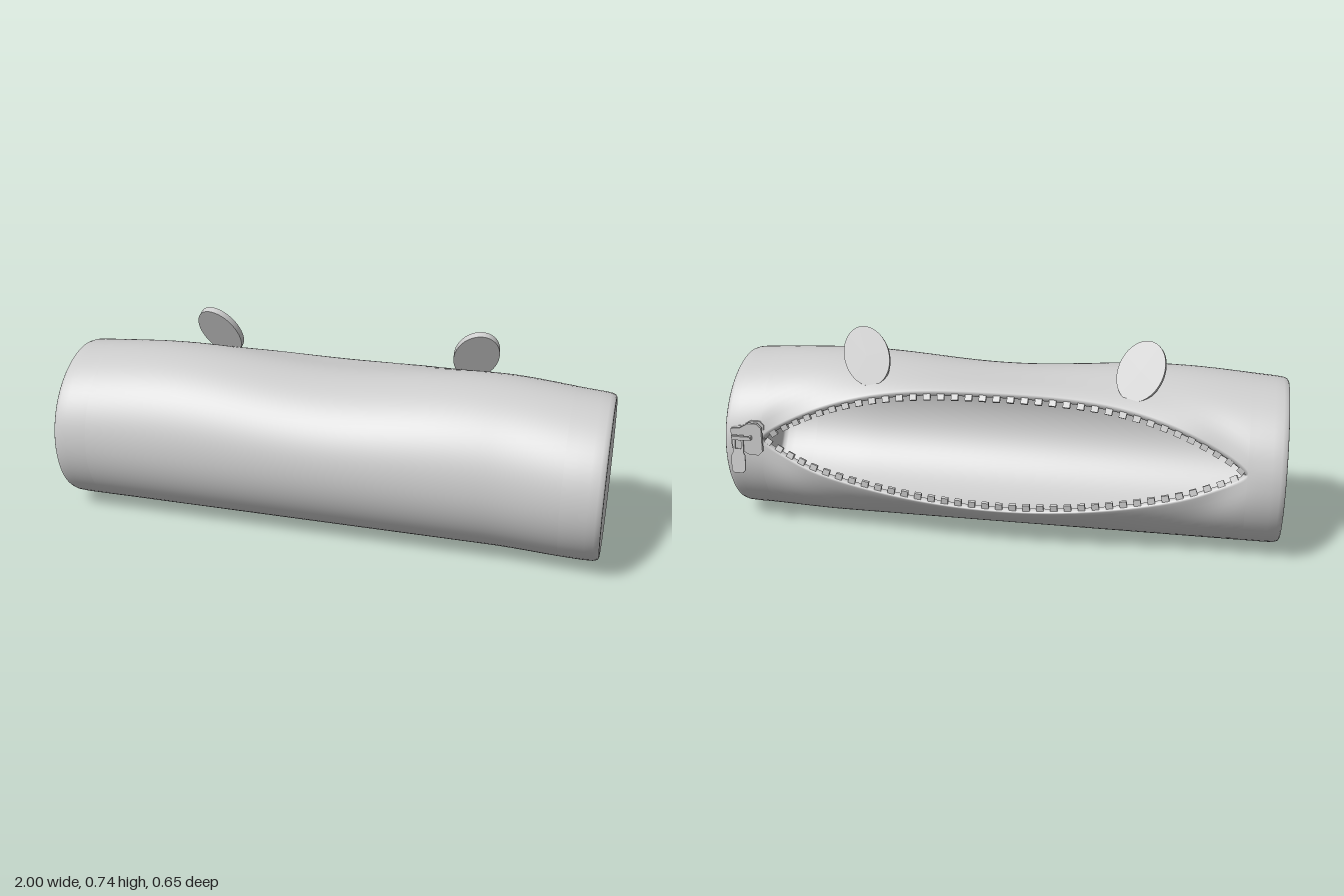
import * as THREE from 'three';
import { mergeGeometries } from 'three/addons/utils/BufferGeometryUtils.js';

const grey = new THREE.MeshStandardMaterial({ color: 0xcccccc, side: THREE.DoubleSide });
const rad = THREE.MathUtils.degToRad;
const SEAM = rad(10), UPPER = rad(42), LOWER = rad(37);
const OPEN_MID = -0.005, OPEN_HALF = 0.865;

// How far the zip gapes at x: 0 closed, 1 widest
function gape(x) {
  const u = (x - OPEN_MID) / OPEN_HALF;
  return Math.pow(Math.max(0, 1 - u * u), 0.75);
}

// Point on the soft tube; t runs from the upper lip round the front to the lower lip
function skinPoint(x, t, scale = 1) {
  const w = gape(x);
  const a0 = SEAM + UPPER * w, a1 = SEAM - LOWER * w + Math.PI * 2;
  const a = a0 + (a1 - a0) * t;
  // The lips curl outward in the middle and sink in near the zip ends
  const d = Math.min(a - a0, a1 - a) / 0.27;
  const e = (Math.abs(x) - 0.8) / 0.09;
  const curl = 0.1 * w ** 3 - 0.045 * Math.exp(-e * e);
  const r = scale * (1 + curl * Math.exp(-d * d));
  const top = 0.605 - 0.015 * Math.cos(x * Math.PI / 0.57);
  const cy = 0.3, ry = Math.sin(a) > 0 ? top - cy : cy - 0.002;
  const cz = 0.02 * THREE.MathUtils.smoothstep(x, 0.6, 0.95);
  return new THREE.Vector3(x, cy + Math.sin(a) * ry * r, cz - Math.cos(a) * 0.307 * r);
}

// Double-walled tube with rounded rims, closed ends and a slit along the back
function bodyGeometry() {
  const rim = [[1, 0], [1, 0.92], [0.999, 0.955], [0.994, 0.98], [0.98, 0.995], [0.95, 1], [0.9, 1]];
  const stations = rim.map(([x, s]) => [-x, s]);
  for (let i = 0; i <= 56; i++) stations.push([OPEN_MID - OPEN_HALF * Math.cos(Math.PI * i / 56), 1]);
  stations.push(...[...rim].reverse());

  const ts = [0, 0.006];
  for (let j = 1; j < 72; j++) ts.push(j / 72);
  ts.push(0.994, 1);
  const pos = [], index = [], half = ts.length, n = half * 2;
  stations.forEach(([x, s]) => {
    ts.forEach(t => pos.push(...skinPoint(x, t, s).toArray()));
    [...ts].reverse().forEach(t => {
      const p = skinPoint(x, t, s * 0.945);
      pos.push(p.x * 0.985, p.y, p.z);
    });
  });
  // Where the slit is closed, both lips share their vertices
  const closed = i => gape(stations[i][0]) < 1e-6;
  const id = (i, j) => {
    if (closed(i) && j === half - 1) j = 0;
    if (closed(i) && j === n - 1) j = half;
    return i * n + j;
  };
  for (let i = 0; i < stations.length - 1; i++) {
    for (let j = 0; j < n; j++) {
      const isLip = j === half - 1 || j === n - 1;
      if (isLip && closed(i) && closed(i + 1)) continue;
      const k = (j + 1) % n;
      const a = id(i, j), b = id(i, k), c = id(i + 1, j), d = id(i + 1, k);
      index.push(a, b, c, b, d, c);
    }
  }
  const g = new THREE.BufferGeometry();
  g.setAttribute('position', new THREE.Float32BufferAttribute(pos, 3));
  g.setIndex(index);
  g.computeVertexNormals();
  return g;
}

// Row of flat square teeth following one lip, pointing into the opening
function teethGeometry(t, shift) {
  const inner = t === 0 ? 0.01 : 0.99;
  const path = [];
  for (let i = 0; i <= 120; i++) {
    path.push(skinPoint(OPEN_MID - OPEN_HALF * Math.cos(Math.PI * i / 120), t, 0.965));
  }
  const curve = new THREE.CatmullRomCurve3(path);
  const count = 36, teeth = [];
  for (let k = 0; k < count; k++) {
    const u = (k + 0.5 + shift) / (count + 0.5);
    const p = curve.getPointAt(u), tangent = curve.getTangentAt(u);
    const out = p.clone().sub(skinPoint(p.x, inner, 0.985));
    out.addScaledVector(tangent, -out.dot(tangent)).normalize();
    const normal = new THREE.Vector3().crossVectors(tangent, out);
    const box = new THREE.BoxGeometry(0.025, 0.03, 0.013);
    box.translate(0, 0.005, 0);
    box.applyMatrix4(new THREE.Matrix4().makeBasis(tangent, out, normal).setPosition(p));
    teeth.push(box);
  }
  return mergeGeometries(teeth);
}

function add(parent, name, geometry, x = 0, y = 0, z = 0) {
  const m = new THREE.Mesh(geometry, grey);
  m.name = name;
  m.position.set(x, y, z);
  parent.add(m);
  return m;
}

// Zip slider, built facing local +z with its wide mouth towards local +x
function createSlider() {
  const slider = new THREE.Group();
  slider.name = 'zipSlider';
  const plate = new THREE.Shape([
    [0.06, 0.045], [0.045, 0.06], [0.01, 0.06], [-0.02, 0.042], [-0.055, 0.038],
    [-0.055, -0.038], [-0.02, -0.042], [0.01, -0.06], [0.045, -0.06], [0.06, -0.045],
  ].map(p => new THREE.Vector2(...p)));
  const plateGeo = new THREE.ExtrudeGeometry(plate, { depth: 0.012, bevelEnabled: false });
  add(slider, 'sliderFrontPlate', plateGeo, 0, 0, 0.002);
  add(slider, 'sliderBackPlate', plateGeo, 0, 0, -0.026);
  add(slider, 'sliderWedge', new THREE.BoxGeometry(0.025, 0.03, 0.03), 0.04, 0, -0.008);

  // Bridge holding the pull
  add(slider, 'bridgeTop', new THREE.BoxGeometry(0.07, 0.014, 0.007), -0.012, 0.008, 0.028);
  for (const x of [-0.044, 0.02]) {
    add(slider, 'bridgeLeg', new THREE.BoxGeometry(0.008, 0.014, 0.02), x, 0.008, 0.018);
  }

  // Flat pull tab with a slot at the top
  const tab = new THREE.Shape([
    [-0.02, 0.015], [0.02, 0.015], [0.02, -0.05], [0.026, -0.06], [0.026, -0.115],
    [0.016, -0.125], [-0.016, -0.125], [-0.026, -0.115], [-0.026, -0.06], [-0.02, -0.05],
  ].map(p => new THREE.Vector2(...p)));
  tab.holes.push(new THREE.Path([[-0.011, 0.005], [-0.011, -0.035], [0.011, -0.035], [0.011, 0.005]]
    .map(p => new THREE.Vector2(...p))));
  const pull = add(slider, 'pullTab',
    new THREE.ExtrudeGeometry(tab, { depth: 0.005, bevelEnabled: false }), -0.025, 0.002, 0.021);
  pull.rotation.x = -0.13;

  slider.position.set(0.91, 0.358, -0.284);
  slider.rotation.y = Math.PI;
  return slider;
}

export function createModel() {
  const model = new THREE.Group();
  model.name = 'zippedCase';

  add(model, 'caseBody', bodyGeometry());
  add(model, 'upperTeeth', teethGeometry(0, 0));
  add(model, 'lowerTeeth', teethGeometry(1, 0.5));
  model.add(createSlider());

  // Pair of thick oval ears, leaning forward and splayed outward
  const earGeo = new THREE.CylinderGeometry(1, 1, 1, 40).rotateX(Math.PI / 2).scale(0.08, 0.11, 0.024);
  for (const s of [1, -1]) {
    const ear = add(model, s > 0 ? 'leftEar' : 'rightEar', earGeo, s * 0.49, 0.645, -0.141);
    ear.rotation.set(0.46, 0.12 * s, -0.35 * s);
  }
  return model;
}
